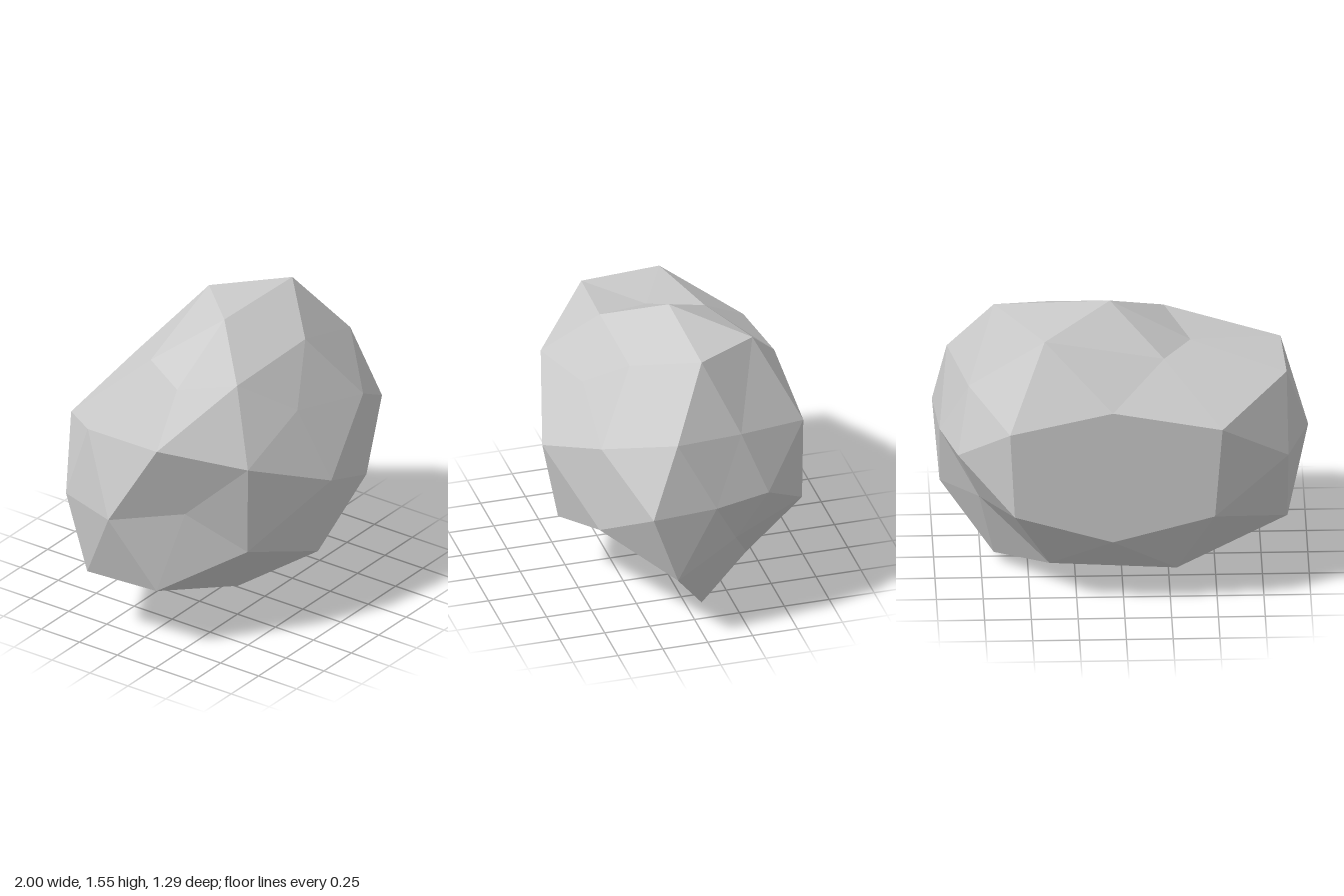
import * as THREE from 'three';

// Direction families of a once-subdivided icosahedron, with the bulge of the
// boulder for each sign combination (index = 1 if x<0, +2 if y<0, +4 if z<0).
const FAMILIES = [
  { dir: [1, 0, 0], bulge: [0.91, 1.06] },
  { dir: [0, 1, 0], bulge: [1.02, 1, 1.08] },
  { dir: [0, 0, 1], bulge: [1.137, 1, 1, 1, 1] },
  { dir: [0.526, 0.851, 0], bulge: [1.18, 0.82, 1.18, 0.88] },
  { dir: [0, 0.526, 0.851], bulge: [0.912, 1, 1.17, 1, 0.965, 1, 1.018] },
  { dir: [0.851, 0, 0.526], bulge: [1.105, 0.9, 1, 1, 0.965, 1.11] },
  { dir: [0.309, 0.809, 0.5], bulge: [1, 0.96, 0.865, 1.035, 1.16, 0.91, 1.075, 1.125] },
  { dir: [0.5, 0.309, 0.809], bulge: [1.06, 1.1, 1.085, 1.085, 1.1, 1.17, 1.05, 1.09] },
  { dir: [0.809, 0.5, 0.309], bulge: [1.07, 1.135, 1.117, 1.14, 0.94, 1.16, 0.87, 1.165] },
];
const SCALE = new THREE.Vector3(1, 0.74, 0.62);
const CENTER = new THREE.Vector3(0.06, 0.8, -0.06);
const BACK = -0.647;

function bulgeFor(v) {
  const family = FAMILIES.find(({ dir }) =>
    Math.abs(v.x) * dir[0] + Math.abs(v.y) * dir[1] + Math.abs(v.z) * dir[2] > 0.99);
  const index = (v.x < -0.01 ? 1 : 0) + (v.y < -0.01 ? 2 : 0) + (v.z < -0.01 ? 4 : 0);
  return family.bulge[index];
}

export function createModel() {
  const group = new THREE.Group();
  group.name = 'rock';

  // Faceted boulder: push each corner in or out, then flatten the back
  const geometry = new THREE.IcosahedronGeometry(1, 1);
  const position = geometry.attributes.position;
  const v = new THREE.Vector3();
  for (let i = 0; i < position.count; i++) {
    v.fromBufferAttribute(position, i).normalize();
    const onBack = v.z < -0.8;
    v.multiplyScalar(bulgeFor(v)).multiply(SCALE).add(CENTER);
    if (onBack) v.z = BACK;
    position.setXYZ(i, v.x, v.y, v.z);
  }
  geometry.computeVertexNormals();

  const boulder = new THREE.Mesh(
    geometry,
    new THREE.MeshStandardMaterial({ color: 0xcccccc, flatShading: true })
  );
  boulder.name = 'boulder';
  group.add(boulder);
  return group;
}
